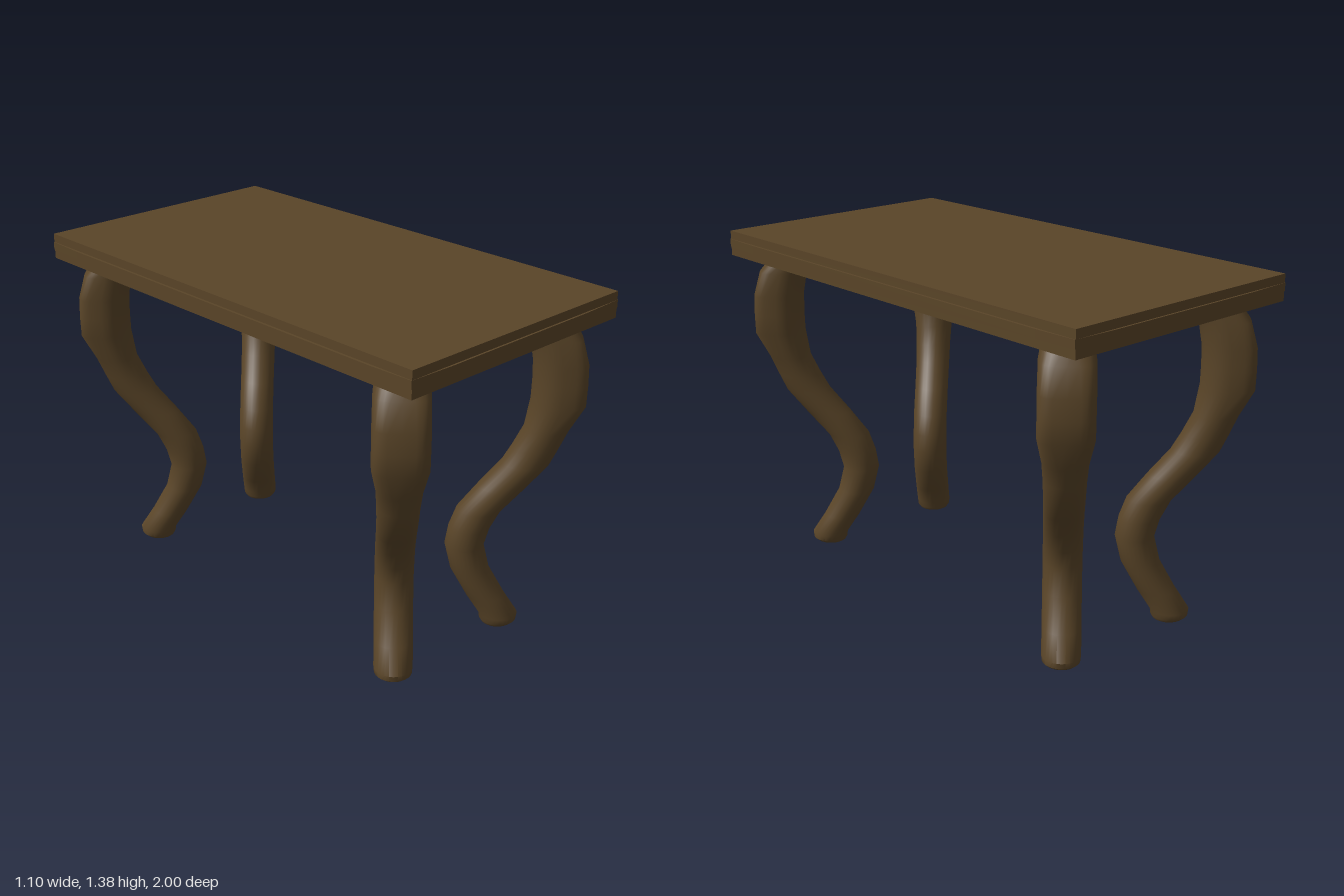
import * as THREE from 'three';
import { toCreasedNormals } from 'three/addons/utils/BufferGeometryUtils.js';

const wood = new THREE.MeshStandardMaterial({ color: 0x5a4528 });
const CORNER_Z = 0.447; // leg paths run on diagonals starting at z = +-CORNER_Z
const SKEW = 0.018;     // small sideways offset of every leg

// Leg stations: height, diagonal position (as x), radial half, sideways half, outer squareness
const STATIONS = [
  [0.00, 0.285, 0.062, 0.062, 2],
  [0.012, 0.288, 0.073, 0.072, 2],
  [0.035, 0.288, 0.076, 0.074, 2],
  [0.12, 0.249, 0.076, 0.074, 2],
  [0.24, 0.202, 0.076, 0.074, 2],
  [0.345, 0.184, 0.076, 0.074, 2],
  [0.42, 0.195, 0.080, 0.074, 2],
  [0.50, 0.219, 0.086, 0.074, 2],
  [0.60, 0.277, 0.092, 0.074, 2],
  [0.70, 0.336, 0.092, 0.075, 2],
  [0.77, 0.361, 0.088, 0.077, 2.1],
  [0.85, 0.386, 0.084, 0.082, 2.4],
  [0.96, 0.410, 0.100, 0.100, 4],
  [1.04, 0.411, 0.100, 0.100, 4],
  [1.12, 0.409, 0.100, 0.100, 4],
  [1.22, 0.393, 0.095, 0.098, 3.5],
  [1.295, 0.360, 0.080, 0.085, 2.3],
];

// Loft through the stations, local +X pointing outward
function legGeometry() {
  const N = 28, pos = [], index = [];
  for (const [y, c, r, w, n] of STATIONS) {
    for (let i = 0; i < N; i++) {
      const a = (i / N) * Math.PI * 2, ca = Math.cos(a), sa = Math.sin(a);
      const e = 2 / (ca > 0 ? n : 2);
      pos.push(
        c * Math.SQRT2 + r * Math.sign(ca) * Math.abs(ca) ** e,
        y,
        SKEW + w * Math.sign(sa) * Math.abs(sa) ** e
      );
    }
  }
  const rows = STATIONS.length;
  for (let j = 0; j < rows - 1; j++) {
    for (let i = 0; i < N; i++) {
      const a = j * N + i, b = j * N + (i + 1) % N;
      index.push(a, a + N, b, b, a + N, b + N);
    }
  }
  // End caps
  for (let i = 1; i < N - 1; i++) {
    index.push(0, i, i + 1);
    const t = (rows - 1) * N;
    index.push(t, t + i + 1, t + i);
  }
  const g = new THREE.BufferGeometry();
  g.setAttribute('position', new THREE.Float32BufferAttribute(pos, 3));
  g.setIndex(index);
  return toCreasedNormals(g, 0.7);
}

export function createModel() {
  const model = new THREE.Group();
  const add = (name, geometry, parent = model) => {
    const mesh = new THREE.Mesh(geometry, wood);
    mesh.name = name;
    parent.add(mesh);
    return mesh;
  };

  // Tabletop: two boards with a slightly bowed, proud band between them
  const top = new THREE.Group();
  top.name = 'tabletop';
  model.add(top);
  add('upperBoard', new THREE.BoxGeometry(1.08, 0.034, 1.985), top).position.y = 1.365;
  add('lowerBoard', new THREE.BoxGeometry(1.08, 0.036, 1.985), top).position.y = 1.298;

  const quarter = [[0.543, 0.993], [0.35, 1.0]];
  const side = [[0.55, 0.82]];
  const outline = [
    ...side, ...quarter,
    ...[...quarter].reverse().map(([x, z]) => [-x, z]), [-0.55, 0.82],
    [-0.55, -0.82], ...quarter.map(([x, z]) => [-x, -z]),
    ...[...quarter].reverse().map(([x, z]) => [x, -z]), [0.55, -0.82],
  ].map(([x, z]) => new THREE.Vector2(x, z));
  const band = new THREE.ExtrudeGeometry(new THREE.Shape(outline), { depth: 0.032, bevelEnabled: false });
  band.rotateX(-Math.PI / 2);
  add('edgeBand', band, top).position.y = 1.316;

  // Four curved legs, each turned to face its corner
  const leg = legGeometry();
  for (const sz of [1, -1]) {
    for (const sx of [1, -1]) {
      const mesh = add((sz > 0 ? 'front' : 'back') + (sx > 0 ? 'Left' : 'Right') + 'Leg', leg);
      mesh.position.z = sz * CORNER_Z;
      mesh.rotation.y = -Math.atan2(sz, sx);
    }
  }
  return model;
}
